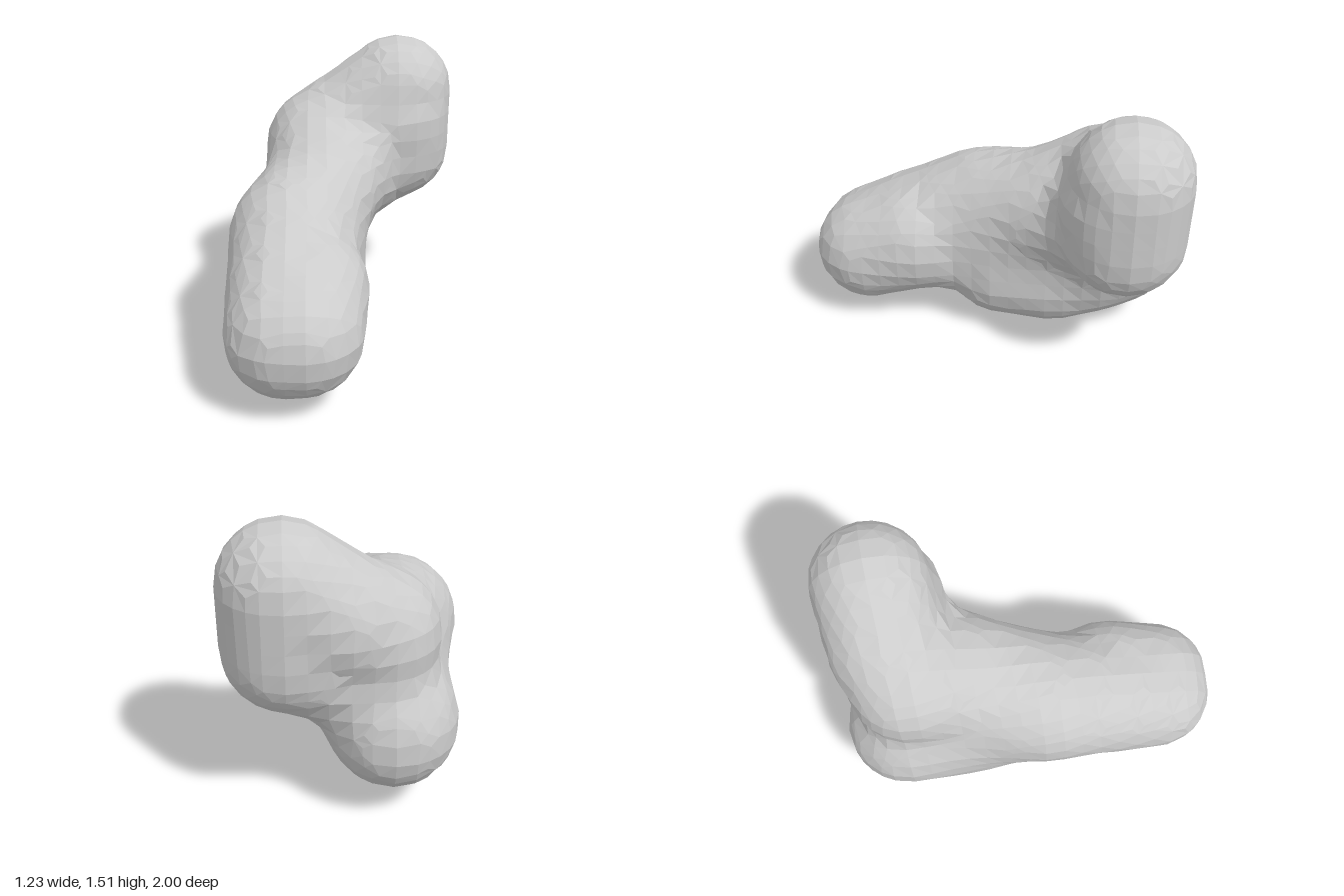
import * as THREE from 'three';

// Rounded limbs, each a chain of balls [x, y, z, radius]
const LIMBS = {
  trunk: [
    [-0.19, 0.49, 0.43, 0.305], [-0.22, 0.39, 0.695, 0.3], [-0.3, 0.38, 0.68, 0.305],
    [-0.29, 0.49, 0.42, 0.32], [-0.28, 0.63, 0.08, 0.32], [-0.1, 0.78, -0.33, 0.31],
  ],
  raisedEnd: [
    [-0.12, 0.91, -0.61, 0.32], [0.05, 1.02, -0.68, 0.31], [0.31, 1.21, -0.7, 0.303],
    [0.295, 0.885, -0.685, 0.313], [-0.1, 0.67, -0.6, 0.28], [0.285, 1.05, -0.675, 0.325],
  ],
  base: [
    [-0.21, 0.44, -0.695, 0.305], [-0.2, 0.375, -0.54, 0.312], [-0.2, 0.317, -0.33, 0.32],
    [-0.2, 0.345, -0.05, 0.31], [-0.24, 0.52, 0.22, 0.25],
  ],
  flank: [[-0.27, 0.62, 0.04, 0.27], [-0.21, 0.48, -0.6, 0.265]],
};
const SOFT = 0.16;

// Split each chain into tapered segments
const CHAINS = Object.values(LIMBS).map((balls) => balls.slice(1).map((end, i) => {
  const a = new THREE.Vector3(...balls[i]);
  return { a, d: new THREE.Vector3(...end).sub(a), ra: balls[i][3], rb: end[3] };
}));
const q = new THREE.Vector3();

function segmentDistance({ a, d, ra, rb }, x, y, z) {
  q.set(x, y, z).sub(a);
  const t = THREE.MathUtils.clamp(q.dot(d) / d.lengthSq(), 0, 1);
  return q.addScaledVector(d, -t).length() - THREE.MathUtils.lerp(ra, rb, t);
}

// Signed distance to the softly blended limbs
function field(x, y, z) {
  let f = 10;
  for (const chain of CHAINS) {
    const s = Math.min(...chain.map((segment) => segmentDistance(segment, x, y, z)));
    const h = Math.max(SOFT - Math.abs(f - s), 0) / SOFT;
    f = Math.min(f, s) - h * h * SOFT / 4;
  }
  return f;
}

// Coarse skin over the field: one vertex per crossed cell, one quad per crossed edge
function skin(min, max, step) {
  const n = min.map((m, i) => Math.ceil((max[i] - m) / step) + 1);
  const id = (c) => c[0] + n[0] * (c[1] + n[1] * c[2]);
  const at = (c) => c.map((v, i) => min[i] + v * step);
  const shift = (c, axis, by) => c.map((v, i) => (i === axis ? v + by : v));
  const values = [], cells = [], positions = [], index = [], vertexOf = new Map();
  for (let k = 0; k < n[2]; k++) for (let j = 0; j < n[1]; j++) for (let i = 0; i < n[0]; i++) {
    values.push(field(...at([i, j, k])));
    cells.push([i, j, k]);
  }

  for (const c of cells) {
    if (c.some((v, i) => v >= n[i] - 1)) continue;
    const sum = new THREE.Vector3();
    let count = 0;
    for (let axis = 0; axis < 3; axis++) for (let e = 0; e < 4; e++) {
      const p = shift(shift(c, (axis + 1) % 3, e & 1), (axis + 2) % 3, e >> 1);
      const r = shift(p, axis, 1);
      const fp = values[id(p)], fr = values[id(r)];
      if ((fp < 0) === (fr < 0)) continue;
      sum.add(new THREE.Vector3(...at(p)).lerp(new THREE.Vector3(...at(r)), fp / (fp - fr)));
      count++;
    }
    if (!count) continue;
    sum.divideScalar(count);
    // Settle the vertex onto the surface
    const { x, y, z } = sum, h = 0.01, f = field(x, y, z);
    const g = new THREE.Vector3(field(x + h, y, z) - f, field(x, y + h, z) - f, field(x, y, z + h) - f).normalize();
    sum.addScaledVector(g, -f);
    vertexOf.set(id(c), positions.length / 3);
    positions.push(sum.x, sum.y, sum.z);
  }

  for (const p of cells) for (let axis = 0; axis < 3; axis++) {
    const r = shift(p, axis, 1), u = (axis + 1) % 3, v = (axis + 2) % 3;
    if (r[axis] >= n[axis] || p[u] < 1 || p[v] < 1) continue;
    const inside = values[id(p)] < 0;
    if (inside === (values[id(r)] < 0)) continue;
    const ring = [p, shift(p, u, -1), shift(shift(p, u, -1), v, -1), shift(p, v, -1)].map((c) => vertexOf.get(id(c)));
    if (!inside) ring.reverse();
    index.push(ring[0], ring[1], ring[2], ring[0], ring[2], ring[3]);
  }

  const geometry = new THREE.BufferGeometry();
  geometry.setAttribute('position', new THREE.Float32BufferAttribute(positions, 3));
  geometry.setIndex(index);
  return geometry;
}

export function createModel() {
  const group = new THREE.Group();
  group.name = 'blobForm';
  const geometry = skin([-0.85, -0.25, -1.25], [0.85, 1.75, 1.25], 0.1).toNonIndexed();
  geometry.computeVertexNormals();
  const body = new THREE.Mesh(geometry, new THREE.MeshStandardMaterial({ color: 0xcccccc, flatShading: true }));
  body.name = 'body';
  group.add(body);
  return group;
}
